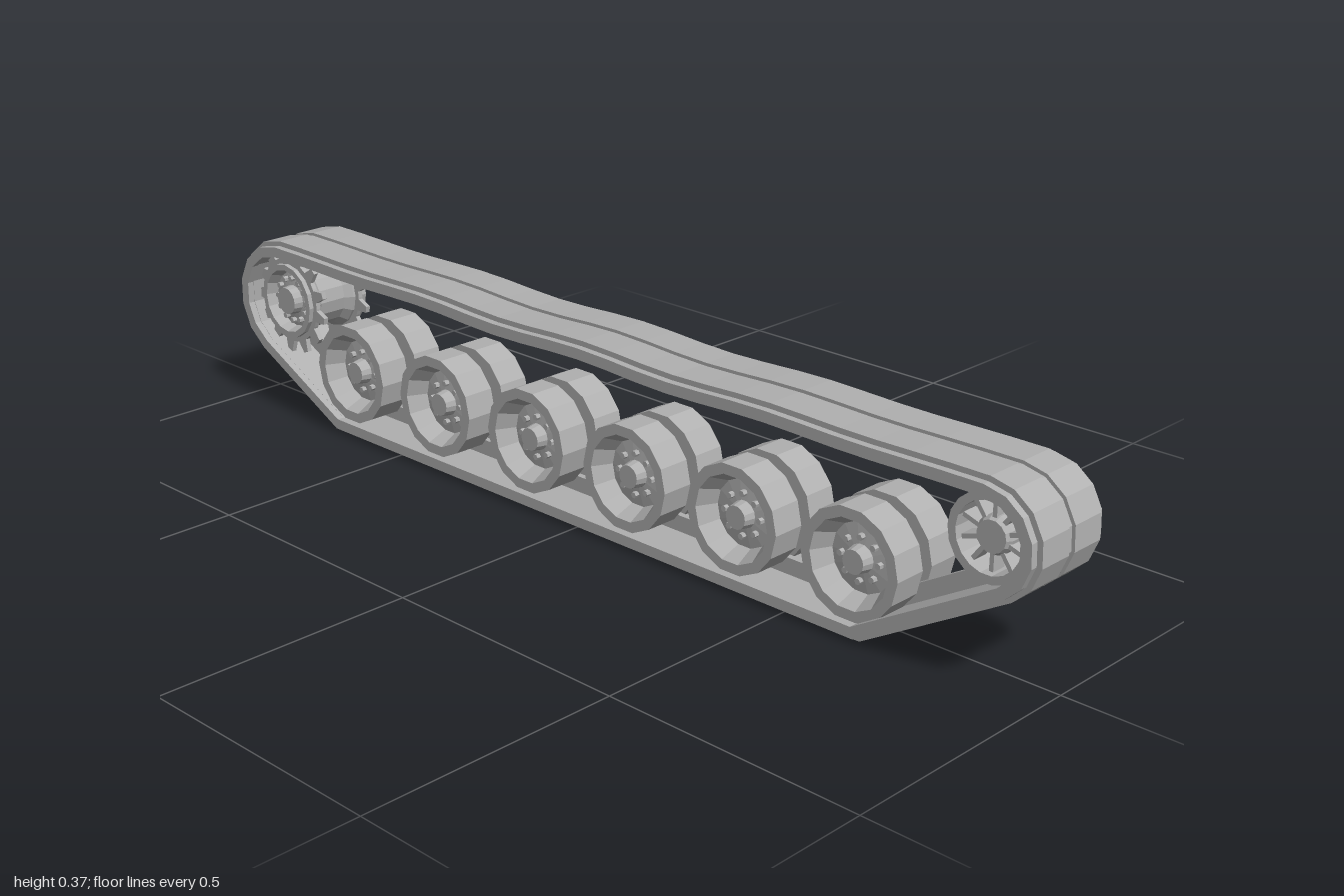
import * as THREE from 'three';

const steel = new THREE.MeshStandardMaterial({ color: 0xb0b0b0 });
steel.name = 'steel grey';

const IDLER = { z: 0.895, y: 0.26, r: 0.105 };
const SPROCKET = { z: -0.868, y: 0.235, r: 0.13 };

function part(name, geometry, parent) {
  const flat = geometry.index ? geometry.toNonIndexed() : geometry;
  flat.computeVertexNormals();
  const mesh = new THREE.Mesh(flat, steel);
  mesh.name = name;
  parent.add(mesh);
  return mesh;
}

// Solid of revolution about the x axis; profile is [radius, x], from -x to +x
function turned(profile, sides) {
  const pts = profile.map(([r, x]) => new THREE.Vector2(r, x));
  return new THREE.LatheGeometry(pts, sides).rotateZ(-Math.PI / 2);
}

// Extrudes a (z, y) shape across x from x0 to x1
function across(shape, x0, x1) {
  return new THREE.ExtrudeGeometry(shape, { depth: x1 - x0, bevelEnabled: false, curveSegments: 12 })
    .rotateY(-Math.PI / 2).translate(x1, 0, 0);
}

// Outer outline of the track in (z, y), counterclockwise
function trackOutline() {
  const pts = [new THREE.Vector2(-0.69, 0), new THREE.Vector2(0.66, 0)];
  const arc = (c, from, to, steps) => {
    for (let i = 0; i <= steps; i++) {
      const a = THREE.MathUtils.degToRad(from + (to - from) * i / steps);
      pts.push(new THREE.Vector2(c.z + c.r * Math.cos(a), c.y + c.r * Math.sin(a)));
    }
  };
  arc(IDLER, -59.6, 90, 6);
  // gently sagging top run
  for (let i = 1; i < 24; i++) {
    const t = i / 24;
    const z = THREE.MathUtils.lerp(IDLER.z, SPROCKET.z, t);
    const dip = 0.004 * (1 - Math.cos(t * Math.PI * 8)) * Math.sin(t * Math.PI);
    pts.push(new THREE.Vector2(z, 0.365 - dip));
  }
  arc(SPROCKET, 90, 243.3, 6);
  return pts;
}

// Moves every corner of a closed outline inward by d
function inset(pts, d) {
  const n = pts.length;
  return pts.map((p, i) => {
    const a = p.clone().sub(pts[(i + n - 1) % n]).normalize();
    const b = pts[(i + 1) % n].clone().sub(p).normalize();
    const m = new THREE.Vector2(-a.y - b.y, a.x + b.x).normalize();
    return p.clone().addScaledVector(m, d / (m.y * a.x - m.x * a.y));
  });
}

function buildTrack(parent) {
  const outline = trackOutline();
  const band = (name, x0, x1, outer, inner) => {
    const shape = new THREE.Shape(inset(outline, outer));
    shape.holes.push(new THREE.Path(inset(outline, inner).reverse()));
    part(name, across(shape, x0, x1), parent);
  };
  band('linkBody', -0.085, 0.085, 0.014, 0.024);
  band('centreGuide', -0.006, 0.006, 0.005, 0.058);
  for (const s of [-1, 1]) {
    const mid = s * 0.043, edge = s * 0.087;
    band('trackPads', mid - 0.035, mid + 0.035, 0, 0.028);
    band('endConnectors', edge - 0.007, edge + 0.007, 0.009, 0.03);
  }
}

// Ring of copies of a part around the x axis
function ring(name, count, radius, x, makeGeometry, parent) {
  for (let i = 0; i < count; i++) {
    const g = makeGeometry().translate(x, radius, 0).rotateX(i * 2 * Math.PI / count);
    part(name, g, parent);
  }
}
const bolt = () => new THREE.CylinderGeometry(0.006, 0.006, 0.012, 6).rotateZ(Math.PI / 2);

function buildRoadWheel(z) {
  const g = new THREE.Group();
  g.name = 'roadWheel';
  part('wheelBody', turned([
    [0, -0.066], [0.022, -0.066], [0.026, -0.044], [0.064, -0.04], [0.082, -0.078],
    [0.102, -0.078], [0.102, -0.012], [0.07, -0.012], [0.07, 0.012], [0.102, 0.012],
    [0.102, 0.078], [0.082, 0.078], [0.066, 0.042], [0.045, 0.042], [0.042, 0.05], [0, 0.05],
  ], 14), g);
  ring('hubBolt', 8, 0.04, -0.046, bolt, g);
  g.position.set(0, 0.13, z);
  return g;
}

function buildIdler() {
  const g = new THREE.Group();
  g.name = 'idlerWheel';
  for (const s of [-1, 1]) {
    const a = s * 0.043 - 0.031, b = s * 0.043 + 0.031;
    part('idlerRim', turned([[0.062, a], [0.077, a], [0.077, b], [0.062, b], [0.062, a]], 18), g);
    ring('idlerSpoke', 10, 0.048, s * 0.045, () => new THREE.BoxGeometry(0.03, 0.036, 0.008), g);
  }
  part('idlerHub', turned([[0, -0.066], [0.028, -0.066], [0.034, -0.055], [0.034, 0.055],
    [0.028, 0.066], [0, 0.066]], 14), g);
  part('idlerWeb', turned([[0, -0.01], [0.064, -0.01], [0.064, 0.01], [0, 0.01]], 18), g);
  g.position.set(0, IDLER.y, IDLER.z);
  return g;
}

function buildSprocket() {
  const g = new THREE.Group();
  g.name = 'driveSprocket';
  part('sprocketDrum', turned([
    [0, -0.07], [0.028, -0.07], [0.03, -0.05], [0.058, -0.046], [0.066, -0.07], [0.078, -0.07],
    [0.078, -0.045], [0.066, -0.03], [0.066, 0.03], [0.078, 0.045],
    [0.078, 0.078], [0.07, 0.078], [0.062, 0.05], [0, 0.05],
  ], 16), g);
  ring('sprocketBolt', 12, 0.045, -0.052, bolt, g);
  // toothed rings
  const teeth = 13, shape = new THREE.Shape();
  for (let i = 0; i < teeth; i++) {
    [[0, 0.088], [0.3, 0.088], [0.48, 0.113], [0.72, 0.113], [0.9, 0.088]].forEach(([f, r], k) => {
      const a = (i + f) / teeth * Math.PI * 2;
      shape[i + k === 0 ? 'moveTo' : 'lineTo'](r * Math.cos(a), r * Math.sin(a));
    });
  }
  shape.closePath();
  const bore = new THREE.Path();
  bore.absarc(0, 0, 0.064, 0, Math.PI * 2, true);
  shape.holes.push(bore);
  for (const x of [-0.06, 0.05]) part('toothRing', across(shape, x, x + 0.01), g);
  g.position.set(0, SPROCKET.y, SPROCKET.z);
  return g;
}

export function createModel() {
  const model = new THREE.Group();
  model.name = 'trackAssembly';
  const track = new THREE.Group();
  track.name = 'track';
  buildTrack(track);
  model.add(track, buildIdler(), buildSprocket());
  for (let i = 0; i < 6; i++) model.add(buildRoadWheel(0.63 - i * 0.257));
  return model;
}
